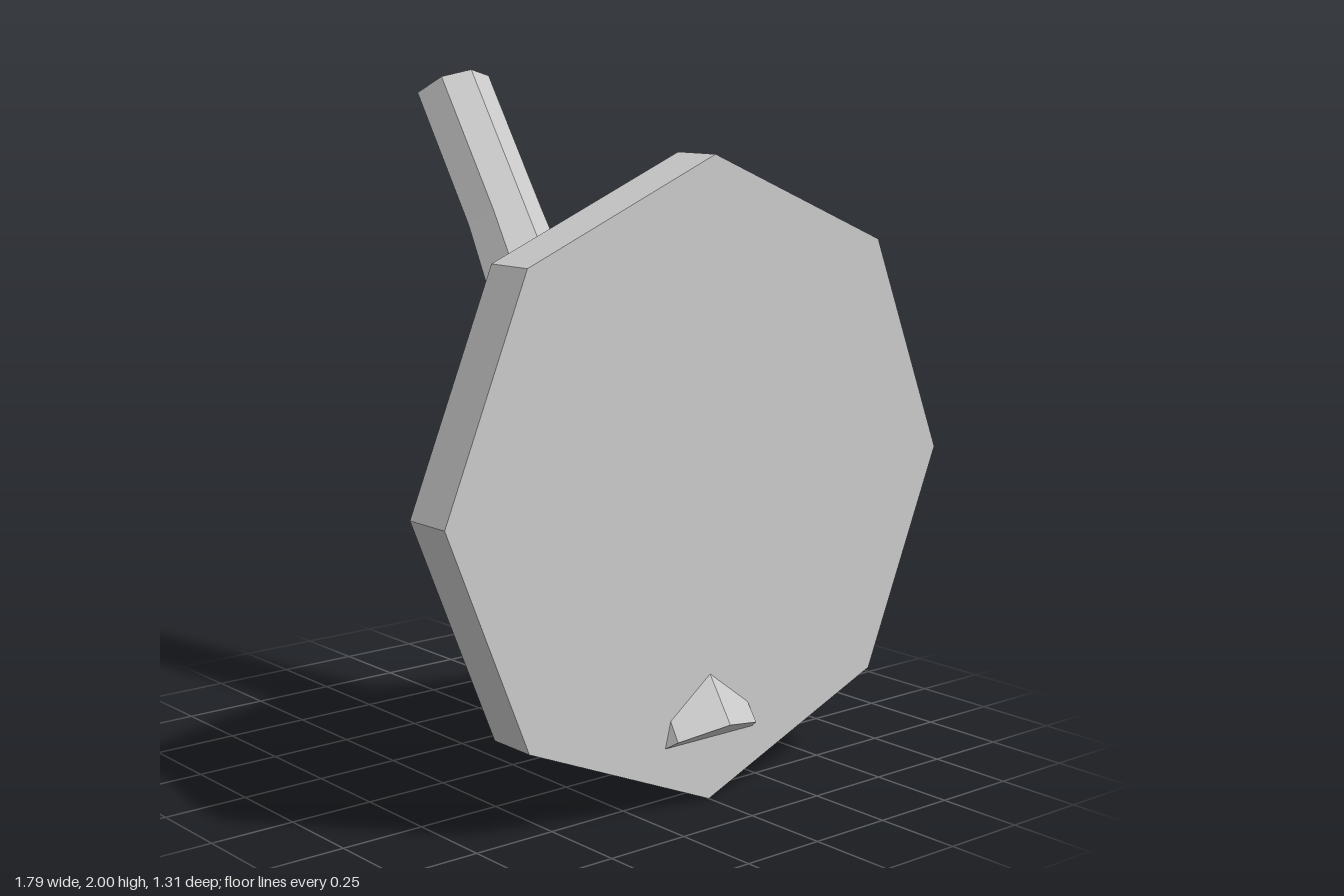
import * as THREE from 'three';

// Shared tilt of the leaning parts: A runs up and back, U points up and forward across it
const A = new THREE.Vector3(0, 0.832, -0.554);
const U = new THREE.Vector3(0, 0.554, 0.832);

// Facetted loft of one outline [x, u, a] scaled through stations { u, a, r } from bottom to top
function loft(outline, stations) {
  const at = (x, u, a) => new THREE.Vector3(x, 0, 0).addScaledVector(U, u).addScaledVector(A, a);
  const rings = stations.map(s => outline.map(([x, u, a]) => at(x * s.r, s.u + u * s.r, s.a + a * s.r)));
  const centres = stations.map(s => at(0, s.u, s.a));
  const n = outline.length, last = rings.length - 1, pts = [];
  for (let i = 0; i < n; i++) {
    const j = (i + 1) % n;
    for (let k = 0; k < last; k++) {
      const a = rings[k], b = rings[k + 1];
      pts.push(a[i], a[j], b[j], a[i], b[j], b[i]);
    }
    pts.push(centres[0], rings[0][j], rings[0][i]);
    pts.push(centres[last], rings[last][i], rings[last][j]);
  }
  const geo = new THREE.BufferGeometry().setFromPoints(pts);
  geo.computeVertexNormals();
  return geo;
}

export function createModel() {
  const group = new THREE.Group();
  const flat = new THREE.MeshStandardMaterial({ color: 0xcccccc, flatShading: true });
  const smooth = new THREE.MeshStandardMaterial({ color: 0xcccccc });
  const add = (name, geo, mat = flat) => {
    const mesh = new THREE.Mesh(geo, mat);
    mesh.name = name;
    group.add(mesh);
    return mesh;
  };

  // Upright eight-sided disc
  const disc = add('disc', new THREE.CylinderGeometry(0.895, 0.895, 0.15, 8).rotateX(Math.PI / 2));
  disc.position.set(0, 0.895, 0.5);

  // Leaning shaft, flatter on its underside, straight at the tip and widening to the foot
  const shaftOutline = [
    [0, 1, 0], [0.707, 0.707, 0], [1, 0, 0],
    [0, -0.457, -0.17], [-1, 0, 0], [-0.707, 0.707, 0],
  ];
  add('shaft', loft(shaftOutline, [
    { u: 0.472, a: -0.17, r: 0.207 },
    { u: 0.554, a: 1.49, r: 0.125 },
    { u: 0.554, a: 1.949, r: 0.125 },
  ]));

  // Short tapered peg on the back of the disc
  const octagon = Array.from({ length: 8 }, (_, i) => {
    const t = i * Math.PI / 4;
    return [Math.sin(t), Math.cos(t), 0];
  });
  const station = (y, z, r) => {
    const p = new THREE.Vector3(0, y, z);
    return { u: p.dot(U), a: p.dot(A), r };
  };
  add('peg', loft(octagon, [station(0.84, 0.47, 0.1), station(1.115, 0.182, 0.056)]));

  // Sagging loop tying the peg to the shaft
  const loopPoints = Array.from({ length: 10 }, (_, i) => {
    const t = i * Math.PI / 5, c = Math.cos(t);
    return new THREE.Vector3(0.22 * Math.sin(t), 0.85 + 0.147 * c + 0.028 * c * c, 0.182 + 0.213 * c);
  });
  const loopCurve = new THREE.CatmullRomCurve3(loopPoints, true);
  add('loop', new THREE.TubeGeometry(loopCurve, 10, 0.024, 8, true), smooth);

  return group;
}
